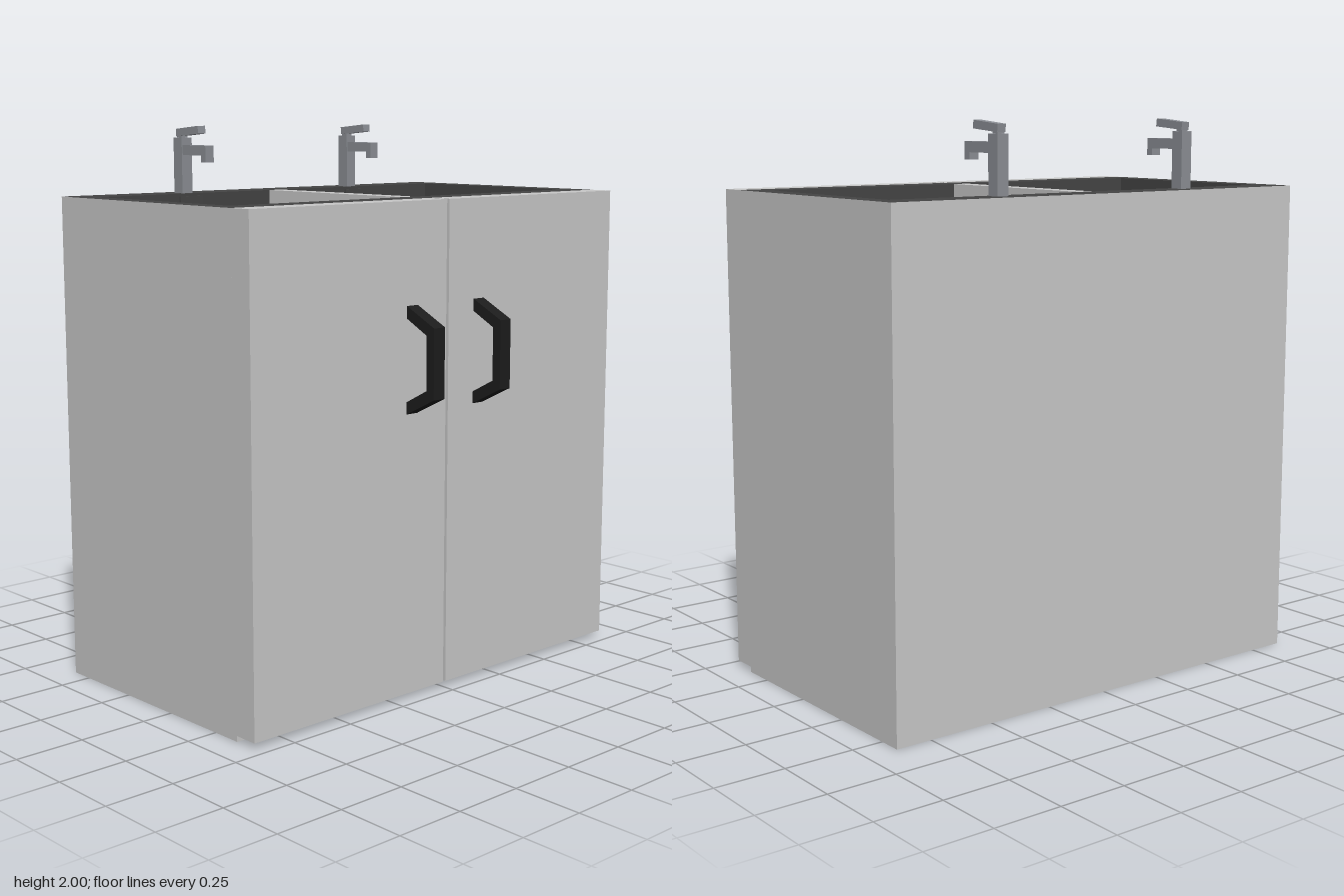
import * as THREE from 'three';

const mat = (name, color, side = THREE.FrontSide) => {
  const m = new THREE.MeshStandardMaterial({ color, side });
  m.name = name;
  return m;
};

export function createModel() {
  const model = new THREE.Group();
  model.name = 'doubleSinkCabinet';
  const panel = mat('lightGreyPanel', 0xc8c8c8, THREE.DoubleSide);
  const stone = mat('darkStone', 0x444444, THREE.DoubleSide);
  const black = mat('blackMetal', 0x1c1c1c);
  const steel = mat('steel', 0x8b8e94);

  const add = (parent, name, geometry, material) => {
    const mesh = new THREE.Mesh(geometry, material);
    mesh.name = name;
    parent.add(mesh);
    return mesh;
  };

  // Box given by its two extreme corners; omitted faces (0..5: +x -x +y -y +z -z) leave it open
  const boxBetween = ([x0, y0, z0], [x1, y1, z1], omit = []) => {
    const g = new THREE.BoxGeometry(x1 - x0, y1 - y0, z1 - z0);
    g.translate((x0 + x1) / 2, (y0 + y1) / 2, (z0 + z1) / 2);
    if (omit.length) {
      g.setIndex(Array.from(g.index.array).filter((_, i) => !omit.includes(Math.floor(i / 6))));
      g.clearGroups();
    }
    return g;
  };

  // Side profile of [z, y] points, extruded across x
  const profile = (points, width, x) => {
    const shape = new THREE.Shape(points.map(([z, y]) => new THREE.Vector2(-z, y)));
    const g = new THREE.ExtrudeGeometry(shape, { depth: width, bevelEnabled: false });
    return g.translate(0, 0, -width / 2).rotateY(Math.PI / 2).translate(x, 0, 0);
  };

  const W = 0.885, TOP = 1.755, BACK = -0.585, FRONT = 0.365, FLOOR = 1.57;

  // Thin-walled carcass, open underneath
  add(model, 'carcass', boxBetween([-W, 0, BACK], [W, TOP, FRONT], [2, 3]), panel);

  // Worktop with one long opening
  const rect = (P, x0, x1, y0, y1) => new P([
    new THREE.Vector2(x0, y0), new THREE.Vector2(x1, y0),
    new THREE.Vector2(x1, y1), new THREE.Vector2(x0, y1)]);
  const topShape = rect(THREE.Shape, -W, W, -FRONT, -BACK);
  topShape.holes.push(rect(THREE.Path, -0.81, 0.81, -0.265, 0.46));
  add(model, 'worktop',
    new THREE.ShapeGeometry(topShape).rotateX(-Math.PI / 2).translate(0, TOP, 0), stone);

  // Basin and its divider
  add(model, 'basin', boxBetween([-0.81, FLOOR, -0.46], [0.81, TOP, 0.265], [2]), stone);
  add(model, 'divider', boxBetween([-0.035, FLOOR, -0.459], [0.028, TOP, 0.264]), panel);

  // Doors with a narrow gap, backed by a dark strip
  add(model, 'rightDoor', boxBetween([-W, 0.02, FRONT], [-0.004, TOP, 0.455]), panel);
  add(model, 'leftDoor', boxBetween([0.008, 0.02, FRONT], [W, TOP, 0.455]), panel);
  add(model, 'gapStrip', boxBetween([-0.004, 0.02, FRONT], [0.008, TOP, 0.373]), black);

  for (const [side, hx, fx] of [['right', -0.17, -0.412], ['left', 0.16, 0.406]]) {
    // Bent bar handle
    add(model, side + 'Handle', profile([
      [0.455, 1.4], [0.585, 1.335], [0.585, 1.09], [0.455, 1.025],
      [0.455, 1.068], [0.55, 1.118], [0.55, 1.307], [0.455, 1.357]], 0.052, hx), black);

    // Square tap: post, hooked spout, neck and tilted lever
    const tap = new THREE.Group();
    tap.name = side + 'Tap';
    model.add(tap);
    const block = (name, w, y0, y1, z0, z1) =>
      add(tap, name, boxBetween([fx - w / 2, y0, z0], [fx + w / 2, y1, z1]), steel);
    block('post', 0.046, TOP, 1.956, -0.525, -0.476);
    add(tap, 'spout', profile([
      [-0.476, 1.93], [-0.342, 1.93], [-0.342, 1.87], [-0.368, 1.87],
      [-0.368, 1.894], [-0.476, 1.894]], 0.038, fx), steel);
    block('neck', 0.028, 1.956, 1.972, -0.515, -0.488);
    add(tap, 'lever', profile([
      [-0.518, 1.988], [-0.388, 2.0], [-0.385, 1.972], [-0.516, 1.961]], 0.034, fx), steel);

    // Small plate on the basin's back wall
    add(model, side + 'OverflowPlate',
      boxBetween([fx - 0.05, 1.645, -0.459], [fx + 0.05, 1.745, -0.452]), stone);
  }
  return model;
}
